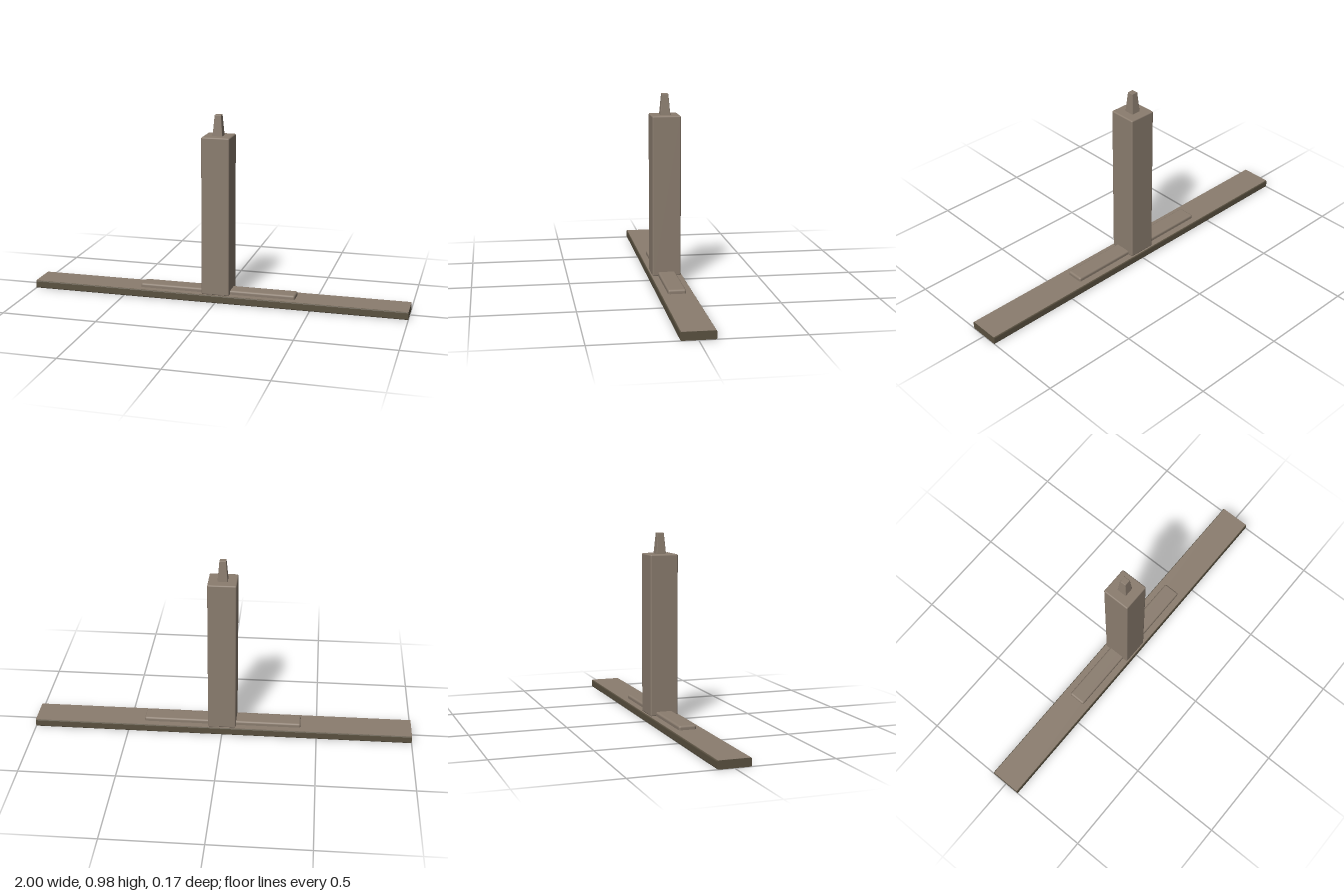
import * as THREE from 'three';
import { RoundedBoxGeometry } from 'three/addons/geometries/RoundedBoxGeometry.js';

export function createModel() {
  const group = new THREE.Group();
  const stone = new THREE.MeshStandardMaterial({ name: 'warm stone', color: 0x8b7d6f });
  const dark = new THREE.MeshStandardMaterial({ name: 'dark stone', color: 0x5a5140 });

  const add = (name, geometry, material, y) => {
    const mesh = new THREE.Mesh(geometry, material);
    mesh.name = name;
    mesh.position.y = y;
    group.add(mesh);
    return mesh;
  };

  // Long base slab: rounded section swept along x
  const w = 0.083, h = 0.041, r = 0.007;
  const section = new THREE.Shape();
  section.moveTo(-w + r, 0);
  section.lineTo(w - r, 0);
  section.quadraticCurveTo(w, 0, w, r);
  section.lineTo(w, h - r);
  section.quadraticCurveTo(w, h, w - r, h);
  section.lineTo(-w + r, h);
  section.quadraticCurveTo(-w, h, -w, h - r);
  section.lineTo(-w, r);
  section.quadraticCurveTo(-w, 0, -w + r, 0);
  const slab = new THREE.ExtrudeGeometry(section, { depth: 2, bevelEnabled: false, curveSegments: 4 });
  slab.translate(0, 0, -1).rotateY(Math.PI / 2);
  add('baseSlab', slab, dark, 0);

  // Lighter top surface of the slab
  add('baseTop', new THREE.BoxGeometry(2, 0.002, 0.158), stone, 0.041);

  // Raised strip running through the foot of the column
  add('raisedStrip', new RoundedBoxGeometry(0.83, 0.042, 0.09, 3, 0.01), stone, 0.042);

  // Square column
  add('column', new RoundedBoxGeometry(0.147, 0.833, 0.147, 3, 0.007), stone, 0.4565);

  // Tapered square finial
  const height = 0.11;
  const finial = new RoundedBoxGeometry(0.052, height, 0.052, 2, 0.003);
  const p = finial.attributes.position;
  for (let i = 0; i < p.count; i++) {
    const s = 1 - 0.36 * (p.getY(i) / height + 0.5);
    p.setX(i, p.getX(i) * s);
    p.setZ(i, p.getZ(i) * s);
  }
  finial.computeVertexNormals();
  add('finial', finial, stone, 0.925);

  return group;
}
